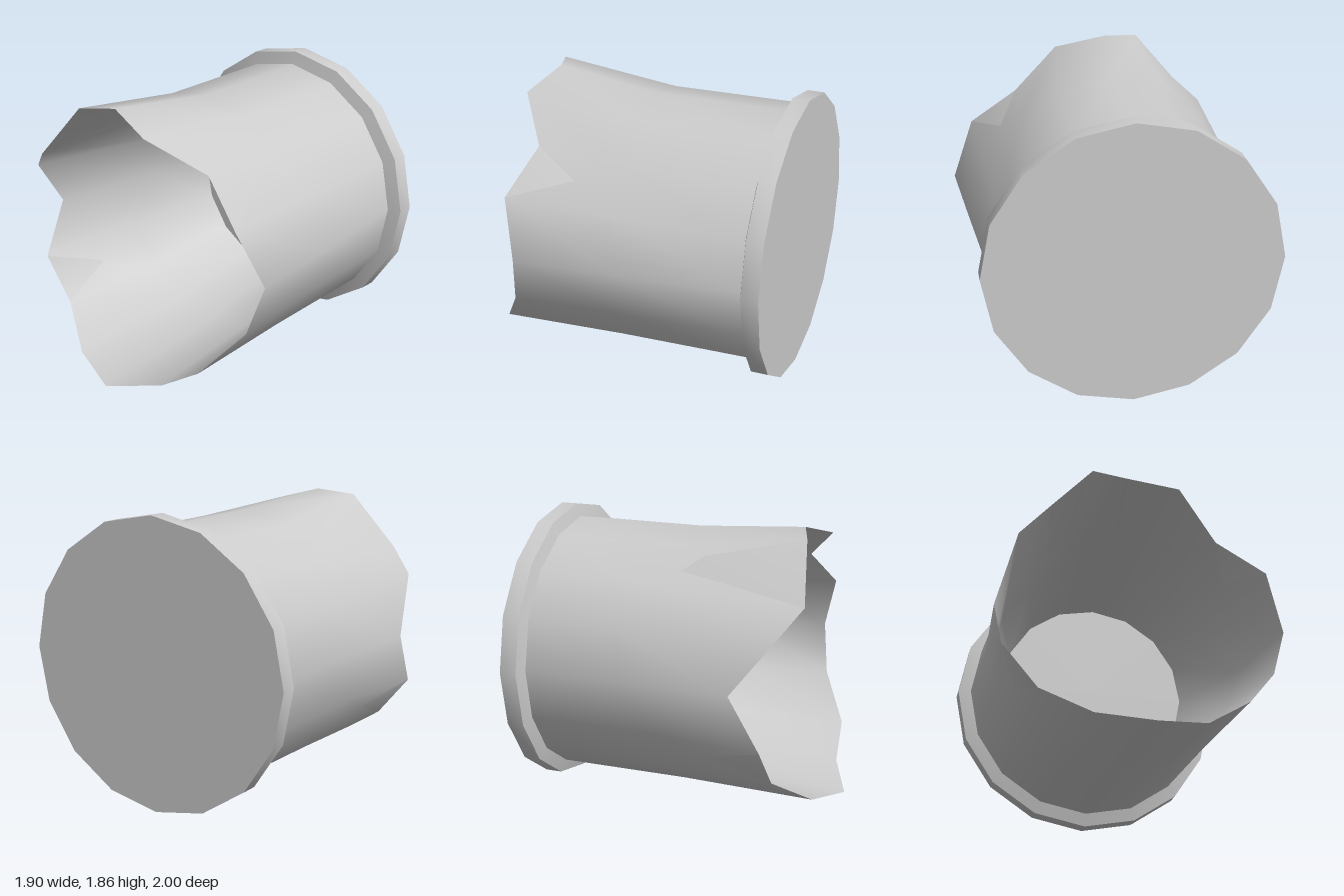
import * as THREE from 'three';

const SIDES = 16, CX = -0.025, CY = 0.93;
const material = new THREE.MeshStandardMaterial({ color: 0xcccccc, side: THREE.DoubleSide });

// A ring of points around the z axis
function ring(radius, z) {
  return Array.from({ length: SIDES }, (_, i) => ringPoint(i, radius, z));
}

function ringPoint(i, radius, z) {
  const a = (i / SIDES) * Math.PI * 2;
  return [CX + radius * Math.cos(a), CY + radius * Math.sin(a), z];
}

// Smooth skin through consecutive rings
function loft(name, rings) {
  const index = [];
  for (let k = 0; k < rings.length - 1; k++) {
    for (let i = 0; i < SIDES; i++) {
      const j = (i + 1) % SIDES;
      const a = k * SIDES + i, b = k * SIDES + j;
      index.push(a, b, b + SIDES, a, b + SIDES, a + SIDES);
    }
  }
  const geometry = new THREE.BufferGeometry();
  geometry.setAttribute('position', new THREE.Float32BufferAttribute(rings.flat(2), 3));
  geometry.setIndex(index);
  geometry.computeVertexNormals();
  const mesh = new THREE.Mesh(geometry, material);
  mesh.name = name;
  return mesh;
}

function disc(name, radius, z, facingBack) {
  const mesh = new THREE.Mesh(new THREE.CircleGeometry(radius, SIDES), material);
  mesh.position.set(CX, CY, z);
  if (facingBack) mesh.rotation.y = Math.PI;
  mesh.name = name;
  return mesh;
}

export function createModel() {
  const group = new THREE.Group();
  group.name = 'tornCasing';

  // Ragged mouth edge, counter-clockwise from the left side
  const mouth = [
    [0.95, 0.92, 0.58], [0.81, 1.275, 0.69], [0.51, 1.52, 0.59], [0.20, 1.74, 0.82],
    [-0.13, 1.83, 0.73], [-0.365, 1.80, 0.81], [-0.65, 1.45, 0.885], [-0.82, 1.30, 0.78],
    [-0.915, 0.94, 0.50], [-0.885, 0.59, 0.69], [-0.66, 0.32, 0.70], [-0.36, 0.12, 0.88],
    [-0.01, 0.055, 1.00], [0.34, 0.13, 0.85], [0.62, 0.31, 0.81], [0.85, 0.595, 0.63],
  ];

  // Dented middle of the wall: radius and z of each corner
  const middle = [
    [0.93, -0.08], [0.86, 0], [0.81, 0], [0.835, 0],
    [0.84, 0], [0.84, 0], [0.825, -0.25], [0.83, -0.25],
    [0.836, -0.25], [0.85, 0], [0.86, 0], [0.85, 0],
    [0.84, 0], [0.85, 0], [0.862, 0], [0.88, 0],
  ];
  const outerMiddle = middle.map(([r, z], i) => ringPoint(i, r, z));
  const innerMiddle = middle.map(([r, z], i) => ringPoint(i, r - 0.045, z - 0.02));

  // Base flange
  group.add(disc('basePlate', 0.93, -1, true));
  group.add(loft('flangeRim', [ring(0.93, -1), ring(0.93, -0.89)]));
  group.add(loft('flangeBevel', [ring(0.93, -0.89), ring(0.845, -0.865)]));

  // Outer wall, inner wall and floor of the cup
  group.add(loft('outerWall', [ring(0.845, -0.865), outerMiddle, mouth]));
  group.add(loft('innerWall', [mouth, innerMiddle, ring(0.65, -0.7)]));
  group.add(disc('innerFloor', 0.65, -0.7, false));
  return group;
}
